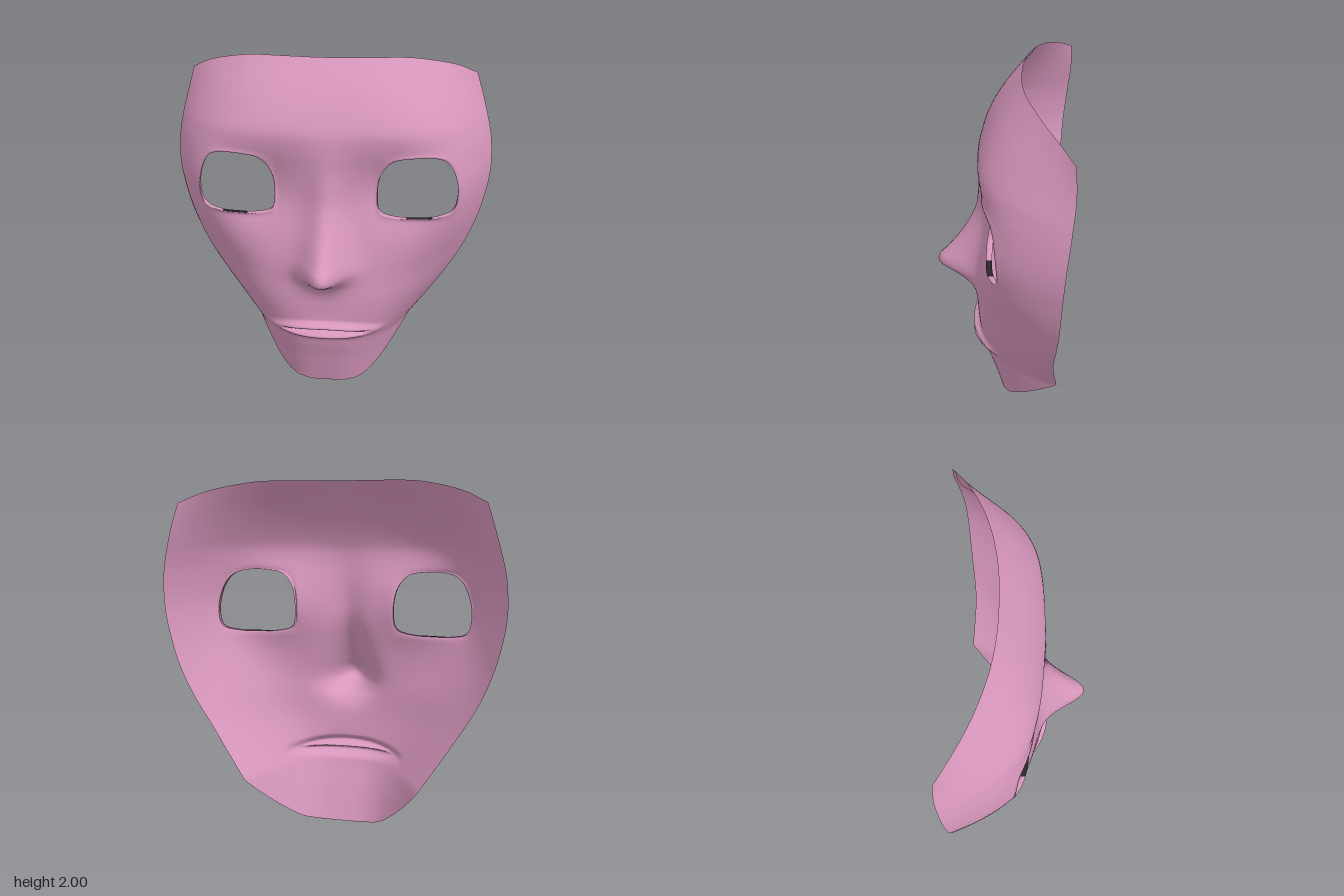
import * as THREE from 'three';
import { mergeVertices } from 'three/addons/utils/BufferGeometryUtils.js';

// Smooth interpolation through [position, value] pairs
function curve(pts) {
  const slope = (i) => {
    const a = pts[Math.max(i - 1, 0)], b = pts[Math.min(i + 1, pts.length - 1)];
    return (b[1] - a[1]) / (b[0] - a[0]);
  };
  return (x) => {
    let i = 0;
    while (i < pts.length - 2 && x > pts[i + 1][0]) i++;
    const [x0, y0] = pts[i], [x1, y1] = pts[i + 1];
    const h = x1 - x0, t = Math.min(Math.max((x - x0) / h, 0), 1), s = 1 - t;
    return y0 * (1 + 2 * t) * s * s + y1 * t * t * (3 - 2 * t)
      + h * (slope(i) * t * s * s - slope(i + 1) * t * t * s);
  };
}
const bell = (x, width) => Math.exp(-((x / width) ** 2));

// Outline half width, rim depth, centre depth and roundness, by height
const halfWidth = curve([[0, 0.1], [0.015, 0.19], [0.06, 0.27], [0.2, 0.4], [0.4, 0.54], [0.6, 0.67],
  [0.8, 0.79], [1, 0.875], [1.2, 0.925], [1.34, 0.94], [1.5, 0.93], [1.6, 0.91], [1.8, 0.87], [2, 0.825]]);
const rimZ = curve([[0, 0], [0.03, -0.05], [0.1, -0.12], [0.2, -0.22], [0.31, -0.32], [0.33, -0.335],
  [0.35, -0.333], [0.5, -0.318], [0.65, -0.308], [0.92, -0.325], [1.34, -0.342], [1.6, -0.365],
  [1.8, -0.376], [2, -0.37]]);
const centreZ = curve([[0, 0], [0.2, 0.06], [0.35, 0.11], [0.5, 0.133], [0.65, 0.14], [0.8, 0.13], [1, 0.11],
  [1.2, 0.1], [1.4, 0.11], [1.55, 0.125], [1.64, 0.12], [1.82, 0.03], [2, -0.1]]);
const roundness = curve([[0, 3.2], [0.33, 2.9], [0.6, 2.9], [0.8, 3.1], [1.1, 4.8], [1.3, 5], [1.6, 4], [2, 2.3]]);
// Top edge height across the forehead
const topEdge = curve([[0, 2], [0.46, 2], [0.63, 1.985], [0.85, 1.94], [1, 1.88]]);
// Nose height and width, by height
const noseZ = curve([[0.58, 0], [0.66, 0.01], [0.72, 0.045], [0.75, 0.09], [0.79, 0.17], [0.83, 0.245],
  [0.88, 0.25], [0.93, 0.21], [1.05, 0.13], [1.2, 0.06], [1.33, 0.035], [1.45, 0.02], [1.64, 0]]);
const noseWidth = curve([[0.6, 0.14], [0.83, 0.13], [1, 0.115], [1.2, 0.09], [1.6, 0.11]]);

// Point of the face: u runs -1..1 across, row runs 0..2 upward
function facePoint(u, row) {
  const a = Math.abs(u), x = u * halfWidth(row), ax = Math.abs(x);
  const y = row < 1.6 ? row : 1.6 + (row - 1.6) / 0.4 * (topEdge(a) - 1.6);
  const front = centreZ(row);
  let z = front + (rimZ(row) - front) * a ** roundness(row);
  z += noseZ(row) * bell(ax, noseWidth(row));
  // eye sockets, with a fuller temple beside them
  z -= 0.07 * bell(ax - 0.39, 0.23) * bell(row - 1.3, 0.21);
  z += 0.02 * bell(ax - 0.73, 0.12) * bell(row - 1.28, 0.2);
  // lips, tapering to the corners, and the slit between them
  const lip = Math.max(0, 1 - (ax / 0.36) ** 2), m = row + 0.2 * x * x - 0.433;
  z += lip * (0.045 * bell(m - 0.03 * lip, 0.022) + 0.052 * bell(m + 0.03 * lip, 0.026));
  z -= Math.max(0, 1 - (ax / 0.28) ** 4) * 0.035 * bell(m, 0.008);
  return [x, y, z];
}

// Eye opening, from the lower inner corner outward and up
const eyeOutline = new THREE.CatmullRomCurve3([[0.31, 1.17], [0.4, 1.14], [0.515, 1.136], [0.63, 1.14],
  [0.715, 1.17], [0.738, 1.27], [0.71, 1.4], [0.66, 1.47], [0.59, 1.495], [0.46, 1.495], [0.37, 1.475],
  [0.31, 1.4], [0.29, 1.26]].map(([x, y]) => new THREE.Vector3(x, y, 0)), true);

const COLS = 36, EYE_IN = 10, EYE_OUT = 31, EYE_LOW = 1.08, EYE_HIGH = 1.56;

function faceGeometry() {
  const pos = [], skin = [], dark = [];
  const add = (p) => pos.push(...p);
  const quad = (list, a, b, c, d, flip) =>
    flip ? list.push(a, c, b, a, d, c) : list.push(a, b, c, a, c, d);

  // Rows, closer together at the chin, mouth and nose
  const rows = [0];
  for (const [from, to, n] of [[0, 0.06, 5], [0.06, 0.34, 14], [0.34, 0.5, 36], [0.5, 0.72, 9],
    [0.72, 0.9, 14], [0.9, EYE_LOW, 7], [EYE_LOW, EYE_HIGH, 16], [EYE_HIGH, 2, 16]])
    for (let i = 1; i <= n; i++) rows.push(i === n ? to : from + (to - from) * i / n);
  const low = rows.indexOf(EYE_LOW), high = rows.indexOf(EYE_HIGH);

  // Main sheet, leaving a window around each eye
  const stride = COLS * 2 + 1;
  for (const row of rows)
    for (let c = -COLS; c <= COLS; c++) add(facePoint(c / COLS, row));
  for (let r = 0; r < rows.length - 1; r++)
    for (let c = -COLS; c < COLS; c++) {
      const side = c < 0 ? -c - 1 : c;
      if (r >= low && r < high && side >= EYE_IN && side < EYE_OUT) continue;
      const a = r * stride + c + COLS;
      quad(skin, a, a + 1, a + stride + 1, a + stride);
    }

  // Window border, in the same order as the eye outline
  const border = [];
  for (let c = EYE_IN; c < EYE_OUT; c++) border.push([c / COLS, rows[low]]);
  for (let r = low; r < high; r++) border.push([EYE_OUT / COLS, rows[r]]);
  for (let c = EYE_OUT; c > EYE_IN; c--) border.push([c / COLS, rows[high]]);
  for (let r = high; r > low; r--) border.push([EYE_IN / COLS, rows[r]]);
  const n = border.length, rim = eyeOutline.getSpacedPoints(n), RINGS = 8;

  // Rings from the window to the eye, then a short wall turned backward,
  // dark along the middle of the lower lid
  for (const side of [1, -1]) {
    const start = pos.length / 3;
    for (let k = 0; k <= RINGS + 2; k++) {
      const t = Math.min(k / RINGS, 1), wall = Math.max(k - RINGS, 0);
      border.forEach(([u, row], j) => {
        const e = rim[j], eu = e.x / halfWidth(e.y);
        const p = facePoint(side * (u + (eu - u) * t), row + (e.y - row) * t);
        p[2] += 0.01 * t ** 5 - 0.016 * wall;
        add(p);
      });
    }
    for (let k = 0; k < RINGS + 2; k++)
      for (let j = 0; j < n; j++) {
        const a = start + k * n + j, b = start + k * n + (j + 1) % n;
        const lid = k >= RINGS && rim[j].y < 1.2 && rim[j].x > 0.44 && rim[j].x < 0.6;
        quad(lid ? dark : skin, a, b, b + n, a + n, side < 0);
      }
  }

  const geometry = new THREE.BufferGeometry();
  geometry.setAttribute('position', new THREE.Float32BufferAttribute(pos, 3));
  geometry.setIndex([...skin, ...dark]);
  geometry.addGroup(0, skin.length, 0);
  geometry.addGroup(skin.length, dark.length, 1);
  const merged = mergeVertices(geometry, 1e-4);
  merged.computeVertexNormals();
  return merged;
}

export function createModel() {
  const group = new THREE.Group();
  group.name = 'mask';
  const pink = new THREE.MeshStandardMaterial({ color: 0xd897bd, side: THREE.DoubleSide });
  pink.name = 'dusty pink';
  const black = new THREE.MeshStandardMaterial({ color: 0x2a2428, side: THREE.DoubleSide });
  black.name = 'lid black';
  const face = new THREE.Mesh(faceGeometry(), [pink, black]);
  face.name = 'maskFace';
  group.add(face);
  return group;
}
